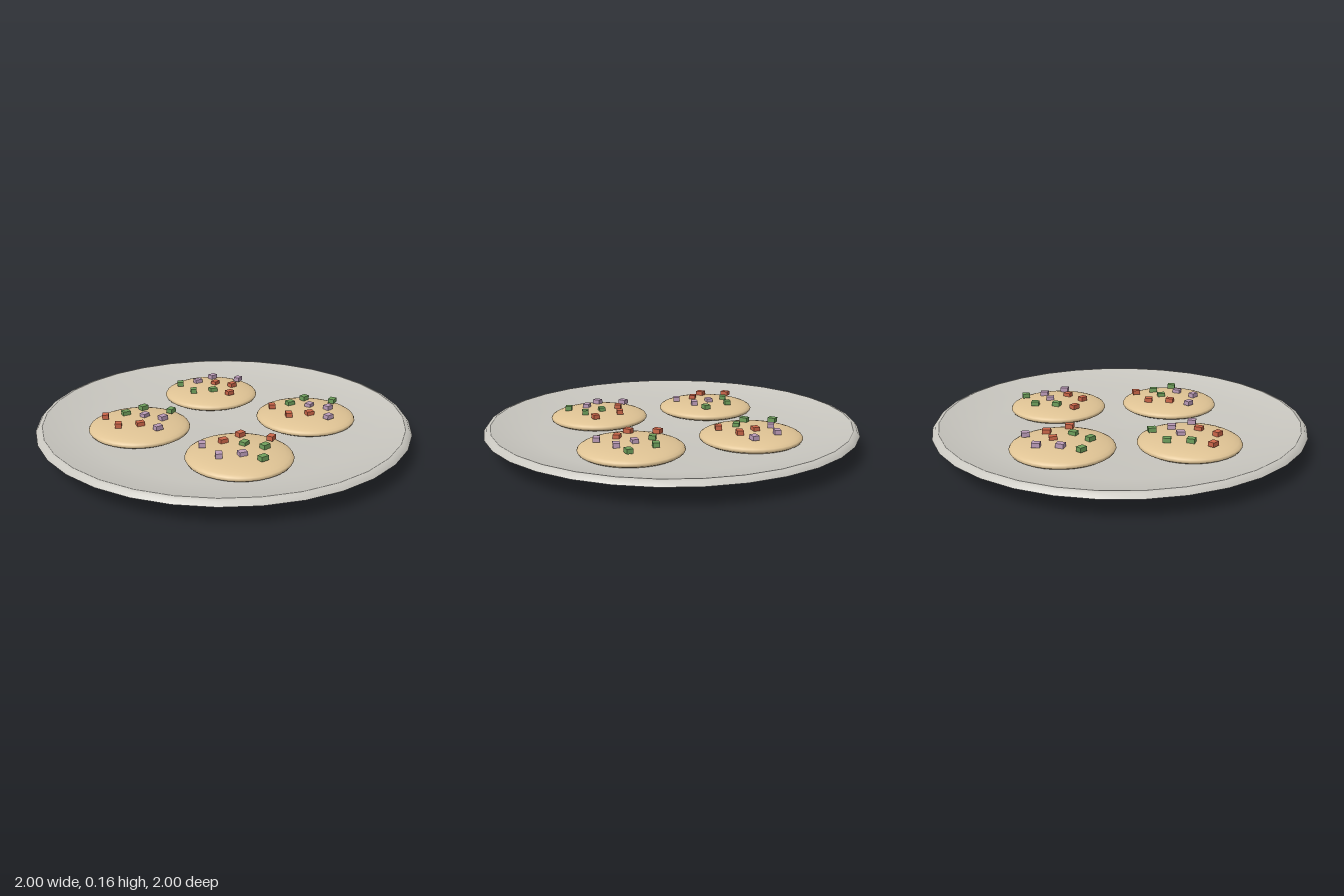
import * as THREE from 'three';

const material = (name, color) => {
  const m = new THREE.MeshStandardMaterial({ color });
  m.name = name;
  return m;
};

export function createModel() {
  const group = new THREE.Group();
  const ceramic = material('plateGrey', 0xc9c7c0);
  const dough = material('cookieDough', 0xe0c495);
  const chipColours = [
    material('chipRed', 0xcc6649),
    material('chipGreen', 0x6fa05c),
    material('chipLilac', 0xbd9dba),
  ];

  const add = (parent, name, geometry, mat, x = 0, y = 0, z = 0) => {
    const mesh = new THREE.Mesh(geometry, mat);
    mesh.name = name;
    mesh.position.set(x, y, z);
    parent.add(mesh);
    return mesh;
  };

  // Plate: each profile is turned separately so the rim and foot stay crisp
  const plate = new THREE.Group();
  plate.name = 'plate';
  group.add(plate);
  const profiles = {
    plateBase: [[0, 0], [0.72, 0]],
    plateUnderside: [[0.72, 0], [0.78, 0.03], [1, 0.105]],
    plateRim: [[1, 0.105], [0.985, 0.125], [0.965, 0.13]],
    plateDish: [[0.965, 0.13], [0.72, 0.075], [0, 0.06]],
  };
  for (const [name, points] of Object.entries(profiles)) {
    const profile = points.map(([x, y]) => new THREE.Vector2(x, y));
    add(plate, name, new THREE.LatheGeometry(profile, 32), ceramic);
  }

  // Cookies: flattened spheres, each with the same scatter of chips
  const cookieShape = new THREE.SphereGeometry(0.27, 32, 16).scale(1, 0.17, 1);
  const chipShape = new THREE.BoxGeometry(0.042, 0.024, 0.034);
  // x, z, turn, colour index
  const chips = [
    [-0.085, -0.165, 0.7, 0], [0.013, -0.107, -0.45, 1], [0.132, -0.085, -0.2, 1],
    [-0.138, -0.025, 0.7, 0], [0.047, -0.003, 0, 2], [-0.058, 0.057, -0.55, 0],
    [0.077, 0.098, -0.2, 2], [0.185, 0.067, 0.1, 1], [-0.043, 0.165, -0.3, 2],
  ];
  const cookies = [[-1, -1, 0], [1, -1, 1], [-1, 1, 2], [1, 1, 0]];
  for (const [sx, sz, shift] of cookies) {
    const cookie = new THREE.Group();
    cookie.name = 'cookie';
    cookie.position.set(sx * 0.323, 0, sz * 0.323);
    group.add(cookie);
    add(cookie, 'cookieDisc', cookieShape, dough, 0, 0.092, 0);
    for (const [x, z, turn, colour] of chips) {
      const chip = add(cookie, 'chip', chipShape, chipColours[(colour + shift) % 3], x, 0.144, z);
      chip.rotation.y = turn;
    }
  }
  return group;
}
